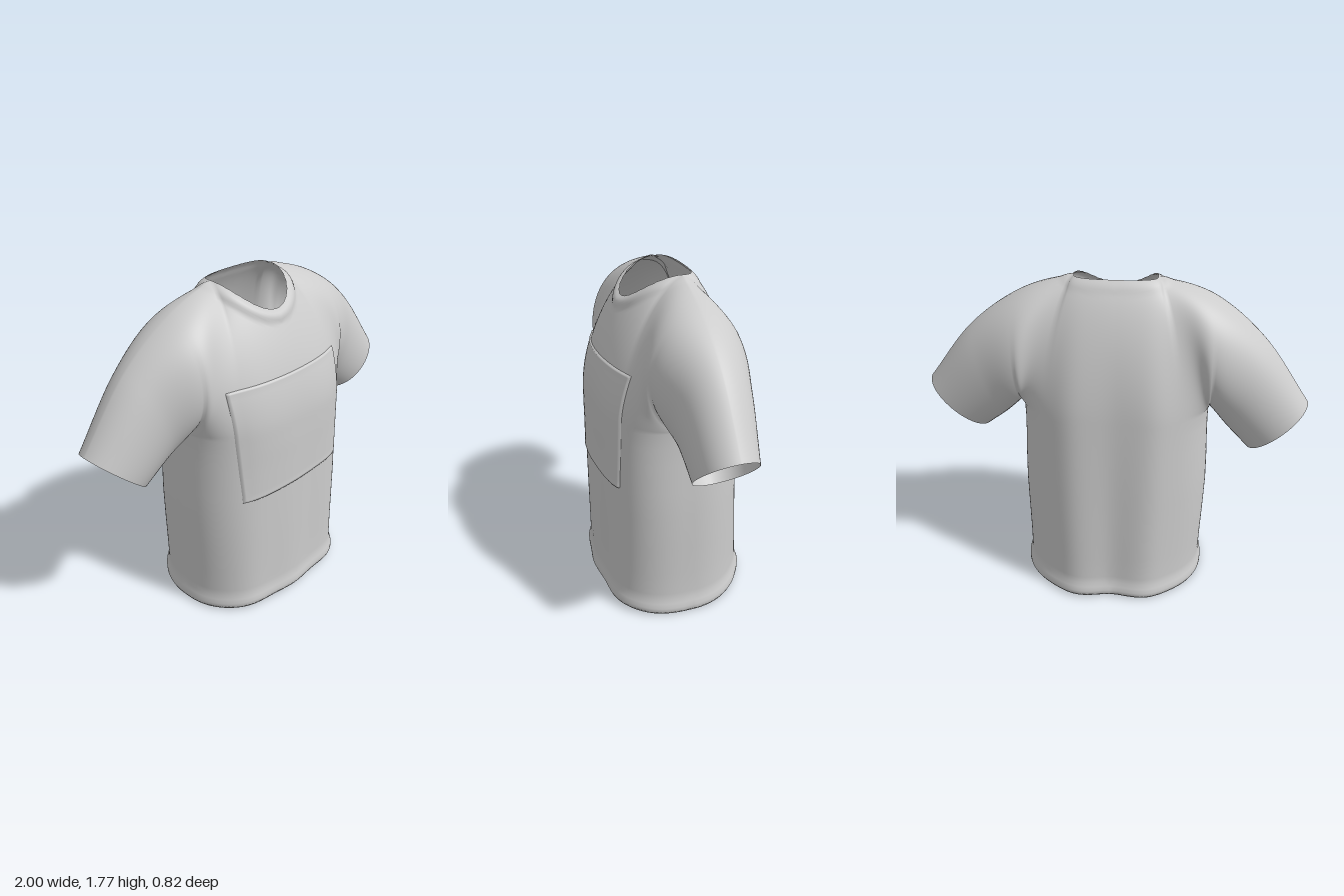
import * as THREE from 'three';
import { mergeGeometries, mergeVertices } from 'three/addons/utils/BufferGeometryUtils.js';

const V = (x, y, z) => new THREE.Vector3(x, y, z);
const STEPS = 16;      // columns per unit of u
const ARMPIT = 1.08;

// Grid of points[i][j] to geometry; flip reverses the winding.
function gridGeometry(points, flip) {
  const pos = [], index = [], rows = points[0].length;
  points.forEach(col => col.forEach(p => pos.push(p.x, p.y, p.z)));
  for (let i = 0; i < points.length - 1; i++) {
    for (let j = 0; j < rows - 1; j++) {
      const a = i * rows + j, b = a + rows, c = b + 1, d = a + 1;
      if (flip) index.push(a, c, b, a, d, c);
      else index.push(a, b, c, a, c, d);
    }
  }
  const g = new THREE.BufferGeometry();
  g.setAttribute('position', new THREE.Float32BufferAttribute(pos, 3));
  g.setIndex(index);
  return g;
}

// Torso rows from hem to armpit: height, half width, front depth, back depth.
const TORSO = [
  [0.025, 0.494, 0.392, 0.392], [0.0, 0.507, 0.403, 0.408], [0.015, 0.513, 0.409, 0.416],
  [0.035, 0.513, 0.409, 0.416], [0.06, 0.506, 0.404, 0.408], [0.085, 0.499, 0.398, 0.398],
  [0.12, 0.496, 0.396, 0.392], [0.25, 0.497, 0.395, 0.385], [0.4, 0.5, 0.395, 0.376],
  [0.6, 0.503, 0.394, 0.364], [0.75, 0.499, 0.393, 0.355], [0.9, 0.492, 0.392, 0.345],
  [1.0, 0.489, 0.392, 0.338], [ARMPIT, 0.49, 0.39, 0.332],
];

// Point of the torso; u runs 0 (centre) to 2 (side seam).
function torsoPoint(u, row, sx, sz) {
  const [y, w, front, back] = row;
  const s = Math.sin(u * Math.PI / 4), low = 1 - y / ARMPIT;
  const x = sx * w * s + 0.012 * low * low;
  const n = sz < 0 ? 2.4 - 0.3 * low : sx > 0 ? 3 : 2.6;
  let z = Math.pow(Math.max(0, 1 - Math.pow(s, n)), 1 / n);
  // soft vertical folds
  const edge = Math.min(1, z * 2);
  if (sz > 0) z = front * z + 0.006 * low * edge * Math.cos(x * 19);
  else z = -back * z + edge * (0.012 + 0.02 * low) * Math.exp(-((x / 0.11) ** 2))
    - edge * 0.012 * Math.exp(-(((Math.abs(x) - 0.22) / 0.09) ** 2));
  const lift = (sz > 0 ? 0.028 : 0.008) * (z / 0.41) ** 2;
  return V(x, y + low * low * lift, z);
}

// Neckline; a runs 0 (centre) to 1 (shoulder).
function neckPoint(a, sx, sz) {
  const s = Math.sin(a * Math.PI / 2), c = Math.max(0, Math.cos(a * Math.PI / 2));
  if (a >= 1) return V(sx * 0.205, 1.768, -0.03);
  if (sz > 0) return V(sx * 0.205 * s, 1.638 + 0.13 * s * s, -0.03 + 0.243 * c);
  return V(sx * 0.205 * Math.pow(s, 0.85), 1.768, -0.03 - 0.08 * Math.sqrt(c));
}

// Control points at centre, neck corner, armhole, mid sleeve and cuff.
const BOTTOM = [[0, 1.25, 0], [0.39, 1.15, 0], [0.49, ARMPIT, 0], [0.585, 0.99, 0], [0.7, 0.897, 0]];
const TOP = [[0, 1.79, -0.03], [0.205, 1.768, -0.03], [0.49, 1.668, -0.015], [0.755, 1.477, -0.01], [1, 1.168, 0]];
const FRONT = [
  [[0, 1.3, 0.395], [0.38, 1.3, 0.37], [0.49, 1.11, 0.335], [0.585, 1.0, 0.235], [0.715, 0.91, 0.2]],
  [[0, 1.52, 0.285], [0.28, 1.685, 0.19], [0.5, 1.65, 0.285], [0.74, 1.46, 0.225], [0.985, 1.155, 0.2]],
];
const BACK = [
  [[0, 1.36, -0.315], [0.38, 1.34, -0.335], [0.49, 1.11, -0.345], [0.585, 1.0, -0.275], [0.715, 0.91, -0.2]],
  [[0, 1.61, -0.25], [0.28, 1.695, -0.2], [0.5, 1.65, -0.305], [0.74, 1.46, -0.265], [0.985, 1.155, -0.2]],
];

// Smooth curve through the control points; the right sleeve hangs a little lower.
function track(keys, sx) {
  const pts = keys.map(([x, y, z], i) => {
    const drop = sx < 0 ? [0, 0, 0, 0.4, 1][i] : 0;
    return V(sx * x, y - 0.05 * drop, z - 0.04 * drop);
  });
  pts.unshift(V(-pts[1].x, pts[1].y, pts[1].z));
  const curve = new THREE.CatmullRomCurve3(pts, false, 'catmullrom', 0.5);
  return u => curve.getPoint((u + 1) / 5);
}

// Chest, shoulders and sleeve of one quarter, as columns from below to the top seam.
function upperQuarter(sx, sz) {
  const mids = sz > 0 ? FRONT : BACK;
  const [p0, p1, p2, p3] = [BOTTOM, mids[0], mids[1], TOP].map(k => track(k, sx));
  const cols = [], rows = 32, last = TORSO[TORSO.length - 1];
  for (let i = 0; i <= 4 * STEPS; i++) {
    const u = i / STEPS;
    const start = u < 2 ? torsoPoint(u, last, sx, sz) : p0(u);
    const end = u <= 1 ? neckPoint(u, sx, sz) : p3(u);
    // the chest leaves the torso upright, the sleeve leaves it sideways
    const rise = start.clone().add(V(0, 0.24, sz > 0 ? 0 : 0.012));
    const handle = rise.lerp(p1(u), THREE.MathUtils.smoothstep(u, 0.8, 1.95));
    const curve = new THREE.CubicBezierCurve3(start, handle, p2(u), end);
    const col = [];
    for (let j = 0; j <= rows; j++) col.push(curve.getPoint(1 - Math.pow(1 - j / rows, 1.35)));
    cols.push(col);
  }
  return cols;
}

function shirtGeometry() {
  const parts = [], neck = [];
  for (const sx of [1, -1]) for (const sz of [1, -1]) {
    const flip = sx * sz < 0, torso = [];
    for (let i = 0; i <= 2 * STEPS; i++) torso.push(TORSO.map(r => torsoPoint(i / STEPS, r, sx, sz)));
    parts.push(gridGeometry(torso, flip), gridGeometry(upperQuarter(sx, sz), flip));
    for (let i = 0; i <= 40; i++) neck.push(neckPoint(i / 40, sx, sz));
  }
  const g = mergeVertices(mergeGeometries(parts), 1e-4);
  g.computeVertexNormals();
  // raised collar band around the neckline, strongest at the front
  const pos = g.attributes.position, nor = g.attributes.normal, p = V(), n = V();
  for (let i = 0; i < pos.count; i++) {
    p.fromBufferAttribute(pos, i);
    if (p.y < 1.5) continue;
    const d = Math.min(...neck.map(q => q.distanceTo(p)));
    if (d > 0.07) continue;
    n.fromBufferAttribute(nor, i);
    const height = 0.004 + 0.009 * THREE.MathUtils.smoothstep(p.z, -0.03, 0.15);
    p.addScaledVector(n, height * Math.sin(Math.PI * d / 0.07));
    pos.setXYZ(i, p.x, p.y, p.z);
  }
  g.computeVertexNormals();
  return g;
}

// Chest panel laid over the front of the shirt, with its rim tucked in.
function panelGeometry(shirt) {
  const corners = [V(-0.345, 0.717, 0), V(0.345, 0.74, 0), V(-0.392, 1.335, 0), V(0.362, 1.352, 0)];
  const steps = [0, 0.008, 0.022];
  for (let i = 1; i < 20; i++) steps.push(0.022 + 0.956 * i / 20);
  steps.push(0.978, 0.992, 1);
  const ray = new THREE.Raycaster();
  const cols = steps.map(a => steps.map(b => {
    const low = corners[0].clone().lerp(corners[1], a), high = corners[2].clone().lerp(corners[3], a);
    const p = low.lerp(high, b);
    p.y += 0.012 * Math.sin(Math.PI * a);
    ray.set(V(p.x, p.y, 1), V(0, 0, -1));
    const hit = ray.intersectObject(shirt)[0];
    const m = Math.min(a, b, 1 - a, 1 - b);
    p.z = (hit ? hit.point.z : 0.35) + (m < 0.001 ? -0.004 : m < 0.01 ? 0.01 : 0.007);
    return p;
  }));
  const g = gridGeometry(cols, false);
  g.computeVertexNormals();
  return g;
}

export function createModel() {
  const group = new THREE.Group();
  group.name = 'shirt';
  const material = new THREE.MeshStandardMaterial({ color: 0xcccccc, side: THREE.DoubleSide });

  const body = new THREE.Mesh(shirtGeometry(), material);
  body.name = 'bodyAndSleeves';
  body.updateMatrixWorld();
  group.add(body);

  const panel = new THREE.Mesh(panelGeometry(body), material);
  panel.name = 'chestPanel';
  group.add(panel);
  return group;
}
